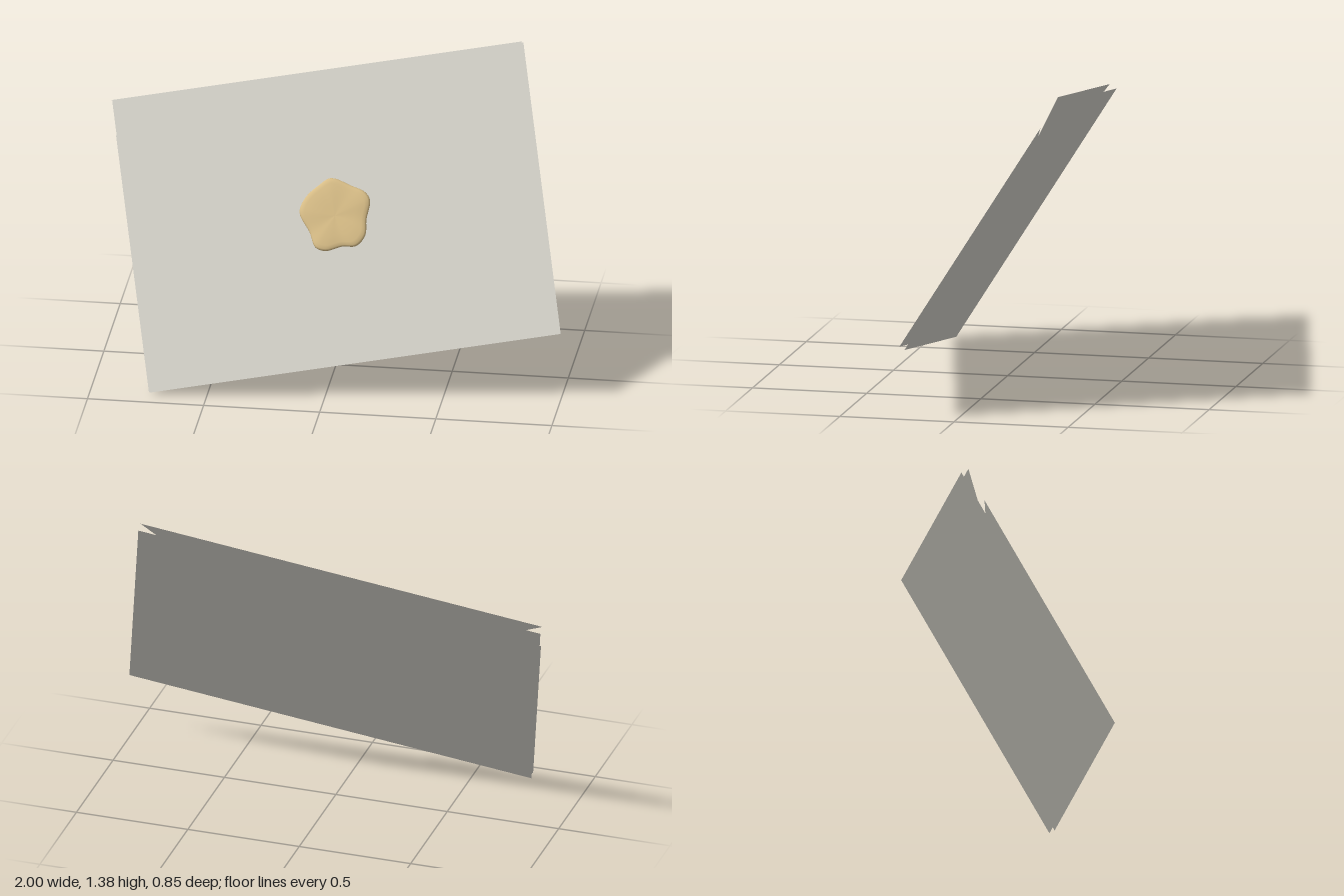
import * as THREE from 'three';

const paper = new THREE.MeshStandardMaterial({ color: 0xd8d6cd, side: THREE.DoubleSide });
paper.name = 'pale paper';
const wax = new THREE.MeshStandardMaterial({ color: 0xdabf88 });
wax.name = 'tan wax';

const W = 0.89; // half width
const H = 0.633; // half height

// Flat sheet from outline points, at depth z
function sheet(name, points, z) {
  const shape = new THREE.Shape(points.map(([x, y]) => new THREE.Vector2(x, y)));
  const mesh = new THREE.Mesh(new THREE.ShapeGeometry(shape), paper);
  mesh.name = name;
  mesh.position.z = z;
  return mesh;
}

// Lobed wax blob: rings of one wavy outline, from the base to a soft crown
function waxSeal() {
  const outline = new THREE.CatmullRomCurve3([
    [0.157, 0.046], [0.140, 0.085], [0.086, 0.120], [0.003, 0.165], [-0.053, 0.142],
    [-0.118, 0.096], [-0.150, 0.037], [-0.118, -0.053], [-0.101, -0.122], [-0.06, -0.143],
    [0.013, -0.134], [0.073, -0.140], [0.117, -0.101], [0.131, -0.033],
  ].map(([x, y]) => new THREE.Vector3(x, y, 0)), true);
  const n = 70;
  const loop = outline.getPoints(n).slice(0, n);
  const rings = [ // scale, height
    [0.0001, 0], [0.95, 0], [0.985, 0.003], [1, 0.010], [0.99, 0.017], [0.95, 0.022],
    [0.85, 0.025], [0.6, 0.027], [0.3, 0.026], [0.0001, 0.025],
  ];
  const pos = [], index = [];
  rings.forEach(([s, h], k) => {
    for (const p of loop) {
      const lobe = 1 + 0.8 * s * (p.length() / 0.148 - 1);
      pos.push(p.x * s, p.y * s, h * lobe);
    }
    if (k === 0) return;
    for (let i = 0; i < n; i++) {
      const j = (i + 1) % n;
      const a = (k - 1) * n + i, b = (k - 1) * n + j, c = k * n + i, d = k * n + j;
      index.push(a, b, d, a, d, c);
    }
  });
  const geo = new THREE.BufferGeometry();
  geo.setAttribute('position', new THREE.Float32BufferAttribute(pos, 3));
  geo.setIndex(index);
  geo.computeVertexNormals();
  const mesh = new THREE.Mesh(geo, wax);
  mesh.name = 'waxSeal';
  mesh.position.z = 0.02;
  return mesh;
}

export function createModel() {
  const envelope = new THREE.Group();
  envelope.name = 'envelope';

  // Loose paper layers, back to front
  envelope.add(
    sheet('backPanel', [[-W, -H], [W, -H], [W, H], [-W, H]], -0.015),
    sheet('letter', [[-0.795, -0.507], [0.795, -0.507], [0.795, 0.507], [-0.795, 0.507]], 0),
    sheet('frontPocket', [[-W, -H], [W, -H], [W, 0.48], [0, 0.156], [-W, 0.48]], 0.011),
    sheet('topFlap', [[-W, H], [-0.02, -0.14], [0.02, -0.14], [W, H]], 0.02),
    waxSeal(),
  );

  // Leaning back and turned in its own plane
  envelope.rotation.set(-0.545, 0, 0.2);
  envelope.position.y = 0.69;

  const model = new THREE.Group();
  model.name = 'sealedEnvelope';
  model.add(envelope);
  return model;
}
